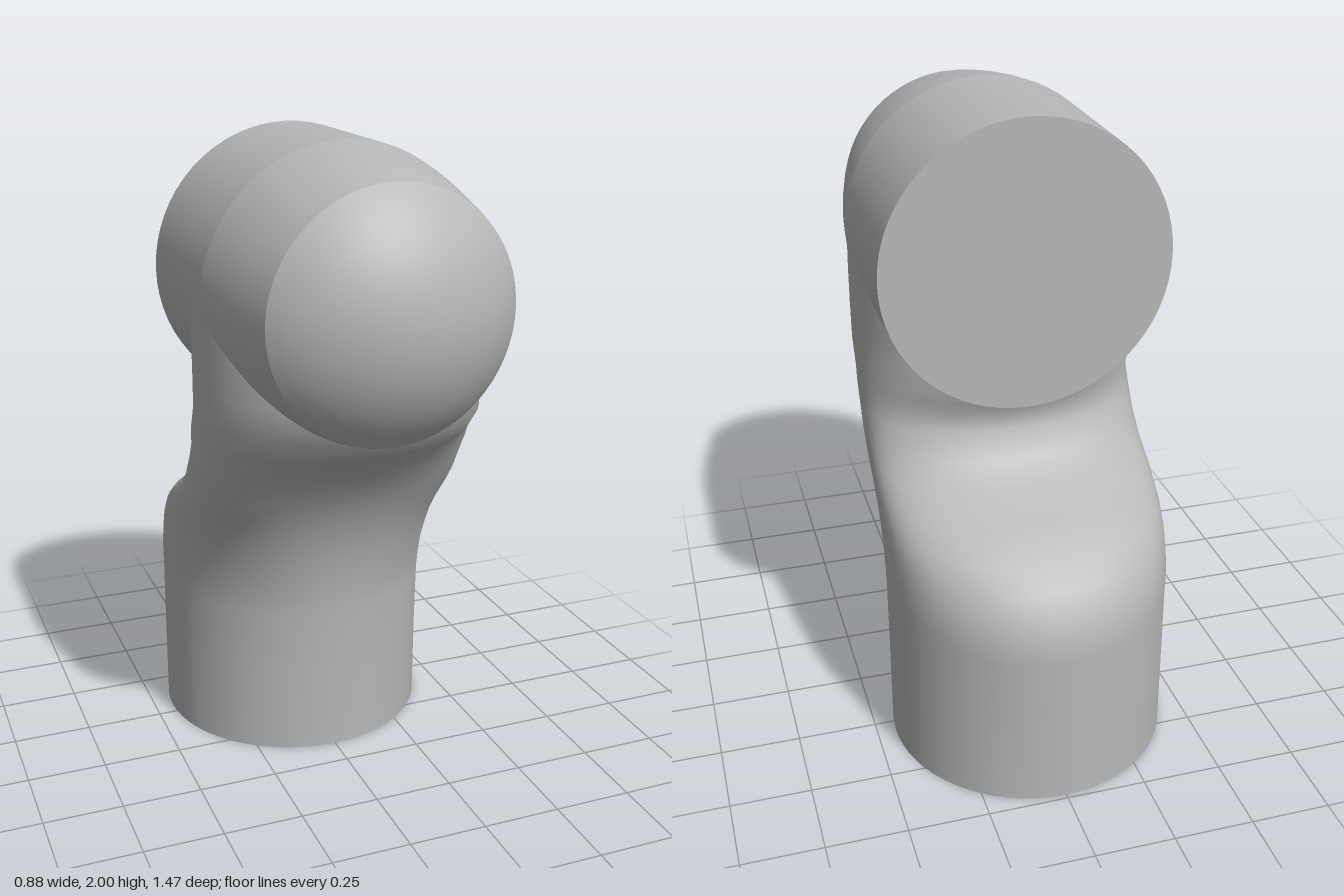
import * as THREE from 'three';

const R = 0.44;       // radius of both pipe ends
const HEAD_Y = 1.56;  // height of the head axis
const BASE_Z = -0.296;

// Sections of the bent body: height, back z, front z, squareness exponent
const SECTIONS = [
  [0, -0.736, 0.144, 2], [0.3, -0.736, 0.15, 2], [0.5, -0.736, 0.16, 2],
  [0.56, -0.734, 0.166, 2.05], [0.63, -0.715, 0.177, 2.1], [0.7, -0.67, 0.192, 2.2],
  [0.76, -0.605, 0.21, 2.25], [0.82, -0.495, 0.232, 2.3], [0.88, -0.355, 0.26, 2.3],
  [0.94, -0.27, 0.295, 2.3], [1.02, -0.227, 0.352, 2.2], [1.08, -0.222, 0.41, 2.1],
  [1.12, -0.26, 0.455, 2.05], [1.2, -0.272, 0.555, 2], [1.3, -0.28, 0.575, 2],
  [1.42, -0.285, 0.58, 2], [HEAD_Y, -0.285, 0.56, 2],
];

// Lofts rounded horizontal sections into a smooth tube
function loftBody(sections, sides) {
  const positions = [], index = [];
  sections.forEach(([y, back, front, n], j) => {
    const mid = (back + front) / 2, depth = (front - back) / 2;
    const round = (v) => Math.sign(v) * Math.abs(v) ** (2 / n);
    for (let i = 0; i < sides; i++) {
      const a = (i / sides) * Math.PI * 2;
      positions.push(R * round(Math.cos(a)), y, mid + depth * round(Math.sin(a)));
      if (j === sections.length - 1) continue;
      const p = j * sides + i, q = j * sides + (i + 1) % sides;
      index.push(p, p + sides, q, q, p + sides, q + sides);
    }
  });
  const geometry = new THREE.BufferGeometry();
  geometry.setAttribute('position', new THREE.Float32BufferAttribute(positions, 3));
  geometry.setIndex(index);
  geometry.computeVertexNormals();
  return geometry;
}

export function createModel() {
  const group = new THREE.Group();
  const grey = new THREE.MeshStandardMaterial({ color: 0xb8b8b8 });
  grey.name = 'grey';

  const add = (name, geometry) => {
    const mesh = new THREE.Mesh(geometry, grey);
    mesh.name = name;
    group.add(mesh);
    return mesh;
  };

  // Turned parts of the head, with profile points [radius, z]
  const addTurned = (name, points) => {
    const profile = points.map(([r, z]) => new THREE.Vector2(r, z));
    const mesh = add(name, new THREE.LatheGeometry(profile, 64));
    mesh.rotation.x = Math.PI / 2;
    mesh.position.y = HEAD_Y;
  };

  // Upright base flowing into the neck and under the head
  add('bentBody', loftBody(SECTIONS, 64));

  // Flat foot
  const foot = add('foot', new THREE.CircleGeometry(R, 64));
  foot.rotation.x = Math.PI / 2;
  foot.position.z = BASE_Z;

  // Horizontal head: barrel, gentle taper, shallow dome
  addTurned('headBarrel', [[R, -0.292], [R, 0.2]]);
  addTurned('headTaper', [[R, 0.2], [0.427, 0.3], [0.409, 0.4], [0.388, 0.5], [0.372, 0.565]]);
  const domeR = 0.488, edge = Math.asin(0.372 / domeR), dome = [];
  for (let i = 0; i <= 12; i++) {
    const a = edge * (1 - i / 12);
    dome.push([domeR * Math.sin(a), 0.737 - domeR * (1 - Math.cos(a))]);
  }
  addTurned('headDome', dome);

  // Flat back face of the head
  const backFace = add('headBackFace', new THREE.CircleGeometry(R, 64));
  backFace.rotation.y = Math.PI;
  backFace.position.set(0, HEAD_Y, -0.292);

  return group;
}
